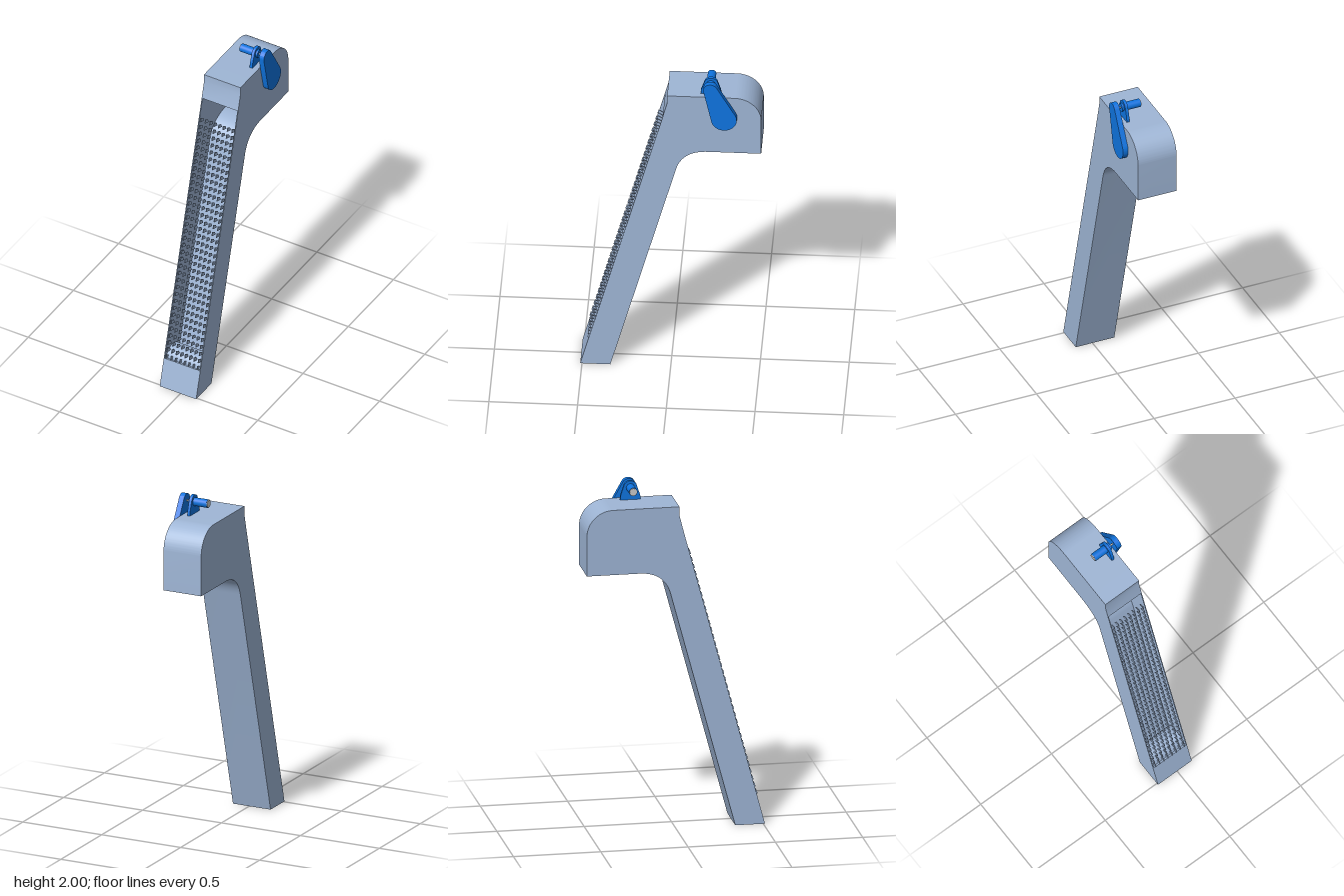
import * as THREE from 'three';
import { mergeGeometries, toCreasedNormals } from 'three/addons/utils/BufferGeometryUtils.js';

const X0 = -0.135, X1 = 0.103, WALL = 0.005;
const SLOPE = 0.267; // forward lean of the front face
const frontZ = (y) => 0.51 - SLOPE * y;

const steel = new THREE.MeshStandardMaterial({ color: 0x9fb6d6, side: THREE.DoubleSide });
const blue = new THREE.MeshStandardMaterial({ color: 0x0f74e0 });
const grey = new THREE.MeshStandardMaterial({ color: 0xcccccc });

// Extrudes a side profile drawn as (z, y) so that it fills x from xa to xb
function extrudeSide(shape, xa, xb) {
  const g = new THREE.ExtrudeGeometry(shape, { depth: xb - xa, bevelEnabled: false, curveSegments: 20 });
  return toCreasedNormals(g.rotateY(-Math.PI / 2).translate(xb, 0, 0), 0.6);
}

// Sheet running across the width along (z, y) points
function sheet(points, xa, xb) {
  const pos = [];
  for (let i = 0; i < points.length - 1; i++) {
    const a = points[i], b = points[i + 1];
    pos.push(xa, a.y, a.x, xb, a.y, a.x, xb, b.y, b.x);
    pos.push(xa, a.y, a.x, xb, b.y, b.x, xa, b.y, b.x);
  }
  const g = new THREE.BufferGeometry();
  g.setAttribute('position', new THREE.Float32BufferAttribute(pos, 3));
  g.computeVertexNormals();
  return toCreasedNormals(g, 0.5);
}

// Cylinder lying along x
function rod(r, xa, xb, y, z, sides = 32) {
  return new THREE.CylinderGeometry(r, r, xb - xa, sides)
    .rotateZ(Math.PI / 2).translate((xa + xb) / 2, y, z);
}

export function createModel() {
  const model = new THREE.Group();
  const add = (name, geometry, material) => {
    const mesh = new THREE.Mesh(geometry, material);
    mesh.name = name;
    model.add(mesh);
  };

  // Housing outline from the top of the front opening, over the hood and down the back
  const outline = new THREE.Shape();
  outline.moveTo(frontZ(1.74), 1.74);
  outline.lineTo(0.02, 1.84);
  outline.lineTo(0.02, 1.89);
  outline.lineTo(-0.36, 1.89);
  outline.absarc(-0.36, 1.74, 0.15, Math.PI / 2, Math.PI, false);
  outline.lineTo(-0.51, 1.51);
  outline.lineTo(-0.21, 1.51);
  outline.quadraticCurveTo(-0.065, 1.51, -0.03, 1.38);
  outline.lineTo(0.34, 0);
  add('housingShell', sheet(outline.getPoints(20), X0, X1), steel);

  // Side walls close the same outline along the sloping front
  const side = outline.clone();
  side.lineTo(0.51, 0);
  add('leftWall', extrudeSide(side, X1 - WALL, X1), steel);
  add('rightWall', extrudeSide(side, X0, X0 + WALL), steel);

  // Low panel under the front opening
  const panel = [new THREE.Vector2(0.51, 0), new THREE.Vector2(frontZ(0.17), 0.17),
    new THREE.Vector2(frontZ(0.17) - 0.01, 0.17)];
  add('lowerFrontPanel', sheet(panel, X0, X1), steel);

  // Bottom roller and its bearings
  add('bottomRoller', rod(0.072, X0 + 0.008, 0.093, 0.15, 0.382, 48), steel);
  add('rollerBearings', rod(0.047, X0 + 0.002, X1 - 0.002, 0.15, 0.382), steel);

  // Rows of thin hooks across the opening
  const hook = new THREE.Shape([[-0.035, 0], [0.007, 0.003], [0.007, 0.028], [-0.02, 0.02]]
    .map(([n, u]) => new THREE.Vector2(n, u)));
  const hooks = [];
  const ROWS = 35, COLUMNS = 8;
  for (let r = 0; r < ROWS; r++) {
    const y = 0.17 + (1.43 * r) / (ROWS - 1);
    for (let c = 0; c < COLUMNS; c++) {
      const x = -0.118 + c * 0.029;
      hooks.push(extrudeSide(hook, x - 0.002, x + 0.002)
        .rotateX(-Math.atan(SLOPE)).translate(0, y, frontZ(y)));
    }
  }
  add('screenHooks', mergeGeometries(hooks), steel);

  // Drive motor lying on top, with a thin shaft
  const my = 1.96, mz = -0.225;
  add('motor', rod(0.024, -0.033, 0.082, my, mz), blue);
  add('motorEnd', rod(0.021, -0.037, -0.033, my, mz), grey);
  add('driveShaft', rod(0.005, 0.08, X1, my, mz, 16), grey);

  // Arched motor bracket
  const bracket = new THREE.Shape();
  bracket.moveTo(mz - 0.058, 1.89);
  bracket.lineTo(mz + 0.058, 1.89);
  bracket.lineTo(mz + 0.056, 1.915);
  bracket.lineTo(mz + 0.034, my + 0.02);
  bracket.absarc(mz, my, 0.04, 0.5, Math.PI - 0.5, false);
  bracket.lineTo(mz - 0.056, 1.915);
  add('motorBracket', extrudeSide(bracket, 0.053, 0.07), blue);

  // Tapered chain guard: two round ends joined by their common tangents
  const bz = -0.302, by = 1.758, rs = 0.04, rb = 0.072;
  const dir = Math.atan2(by - my, bz - mz);
  const spread = Math.acos((rb - rs) / Math.hypot(by - my, bz - mz));
  const back = dir + Math.PI;
  const guard = new THREE.Shape();
  guard.absarc(mz, my, rs, back - spread, back + spread, false);
  guard.absarc(bz, by, rb, back + spread, back - spread + 2 * Math.PI, false);
  add('chainGuard', extrudeSide(guard, X1, 0.135), blue);

  return model;
}
